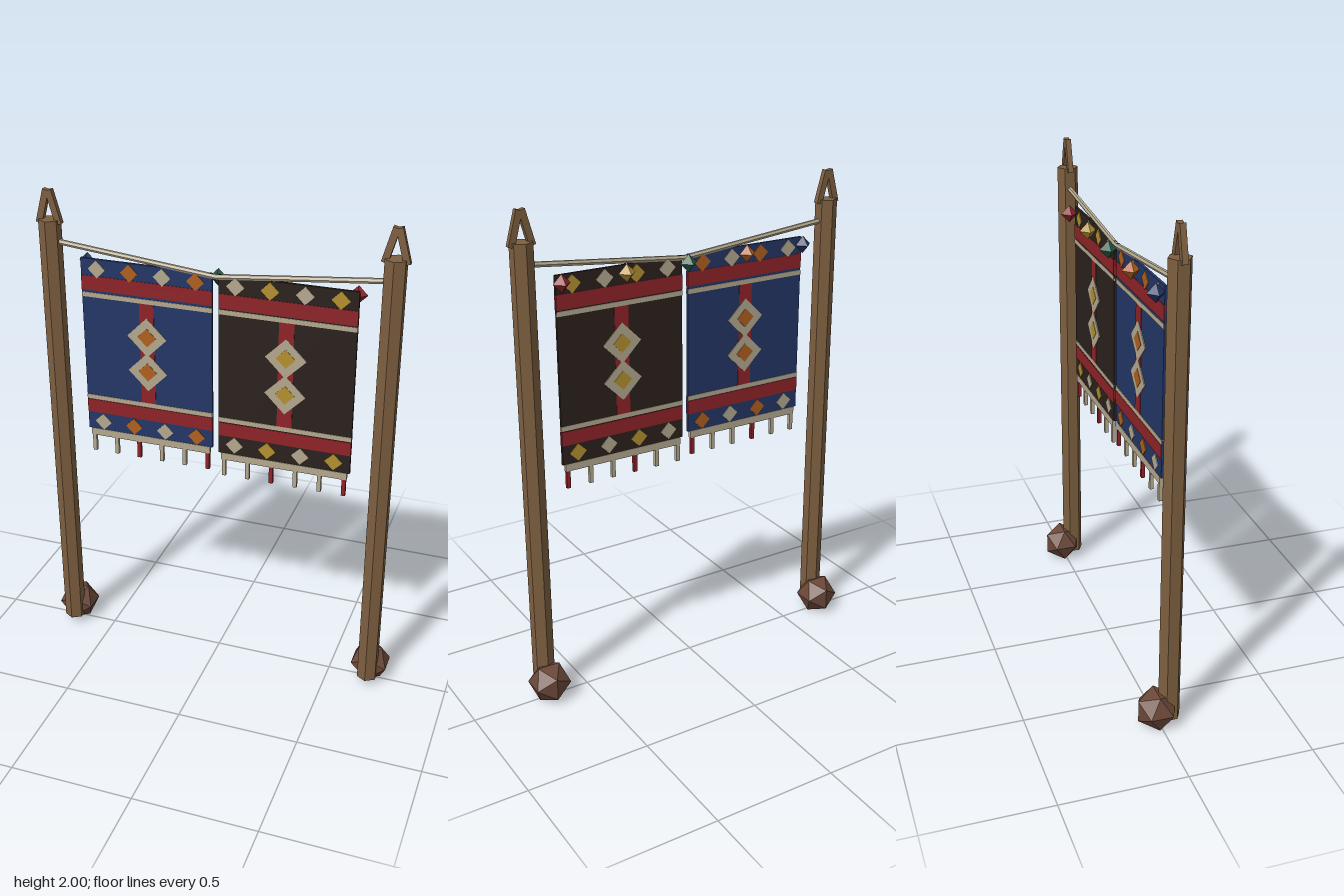
import * as THREE from 'three';

const Z = 0.039; // plane of posts, rope and banners
const COLORS = {
  wood: 0x7d5f40, rock: 0x6b4738, rope: 0xb3a88e, cream: 0xb5a98f, red: 0x8f2329,
  blue: 0x243667, dark: 0x2a211c, orange: 0xb0601f, yellow: 0xb3902f, green: 0x1f5a40,
};
const mats = {};
for (const [k, color] of Object.entries(COLORS)) {
  mats[k] = new THREE.MeshStandardMaterial({ color, flatShading: true });
}

function add(parent, name, geo, color, x, y, z = 0) {
  const m = new THREE.Mesh(geo, mats[color]);
  m.name = name;
  m.position.set(x, y, z);
  parent.add(m);
  return m;
}

// Horizontal or vertical strip given by its top and bottom heights
function strip(parent, name, color, x, w, top, bottom, depth) {
  return add(parent, name, new THREE.BoxGeometry(w, top - bottom, depth), color, x, (top + bottom) / 2);
}

// Square plate standing on its corner; half is the half diagonal
function diamond(parent, name, color, x, y, half, depth) {
  const s = half * Math.SQRT2;
  add(parent, name, new THREE.BoxGeometry(s, s, depth), color, x, y).rotation.z = Math.PI / 4;
}

// Straight bar between two points in the banner plane
function placeBetween(mesh, x0, y0, x1, y1) {
  mesh.position.set((x0 + x1) / 2, (y0 + y1) / 2, Z);
  mesh.rotation.z = Math.atan2(y1 - y0, x1 - x0) - Math.PI / 2;
}

function makePost(side) {
  const g = new THREE.Group();
  g.name = side > 0 ? 'leftPost' : 'rightPost';
  g.position.x = side * 0.674;
  add(g, 'pole', new THREE.CylinderGeometry(0.044, 0.044, 1.847, 6), 'wood', 0, 0.9565, Z);
  // crossed finial boards
  for (const s of [-1, 1]) {
    const board = add(g, 'finialBoard', new THREE.BoxGeometry(0.026, 0.136, 0.022), 'wood', 0, 0);
    placeBetween(board, s * 0.041, 1.864, s * 0.005, 1.995);
  }
  // foot stone
  add(g, 'footStone', new THREE.IcosahedronGeometry(0.087, 0), 'rock', 0, 0.074, -0.012);
  return g;
}

// Woven banner; p holds the heights that differ between the two
function makeBanner(name, x, cloth, accent, p) {
  const g = new THREE.Group();
  g.name = name;
  g.position.set(x, 0, Z);
  strip(g, 'cloth', cloth, 0, 0.538, 1.74, p.bottom, 0.011);

  // bands at both ends and the central stripe
  strip(g, 'upperRedBand', 'red', 0, 0.538, p.redTop, p.redTop - 0.059, 0.015);
  strip(g, 'upperCreamBand', 'cream', 0, 0.538, p.creamTop, p.creamTop - 0.019, 0.015);
  strip(g, 'lowerCreamBand', 'cream', 0, 0.538, p.creamLow, p.creamLow - 0.019, 0.015);
  strip(g, 'lowerRedBand', 'red', 0, 0.538, p.redLow, p.redLow - 0.057, 0.015);
  strip(g, 'centreStripe', 'red', 0, 0.06, p.creamTop - 0.019, p.creamLow, 0.015);

  // large double diamonds
  for (const y of p.big) {
    diamond(g, 'largeDiamond', 'cream', 0, y, 0.082, 0.018);
    diamond(g, 'diamondHeart', accent, 0, y, 0.039, 0.021);
  }
  // rows of small diamonds
  for (const y of p.rows) {
    for (let i = 0; i < 4; i++) {
      diamond(g, 'smallDiamond', i % 2 ? accent : 'cream', (i - 1.5) * 0.135, y, 0.036, 0.017);
    }
  }
  // fringe
  const low = p.bottom - 0.03;
  strip(g, 'fringeBand', 'cream', 0, 0.516, p.bottom, low, 0.014);
  for (let i = 0; i < 6; i++) {
    strip(g, 'tassel', i % 3 === 2 ? 'red' : 'cream', (i - 2.5) * 0.0988, 0.016, low, low - 0.072, 0.014);
  }
  return g;
}

export function createModel() {
  const model = new THREE.Group();
  model.name = 'bannerStand';

  for (const s of [-1, 1]) {
    model.add(makePost(s));
    // sagging rope, one half per side
    const len = Math.hypot(0.66, 0.066);
    const rope = add(model, 'rope', new THREE.CylinderGeometry(0.011, 0.011, len, 6), 'rope', 0, 0);
    placeBetween(rope, 0, 1.728, s * 0.66, 1.794);
  }

  model.add(makeBanner('rightBanner', -0.282, 'blue', 'orange', {
    bottom: 1.004, redTop: 1.671, creamTop: 1.602, creamLow: 1.158, redLow: 1.137,
    big: [1.443, 1.295], rows: [1.7, 1.041],
  }));
  model.add(makeBanner('leftBanner', 0.282, 'dark', 'yellow', {
    bottom: 0.988, redTop: 1.666, creamTop: 1.602, creamLow: 1.147, redLow: 1.124,
    big: [1.437, 1.286], rows: [1.7, 1.03],
  }));

  // gems behind the top edge
  ['blue', 'orange', 'green', 'yellow', 'red'].forEach((color, i) => {
    add(model, 'gem', new THREE.OctahedronGeometry(0.036), color, (i - 2) * 0.269, 1.715, 0.006);
  });

  return model;
}
